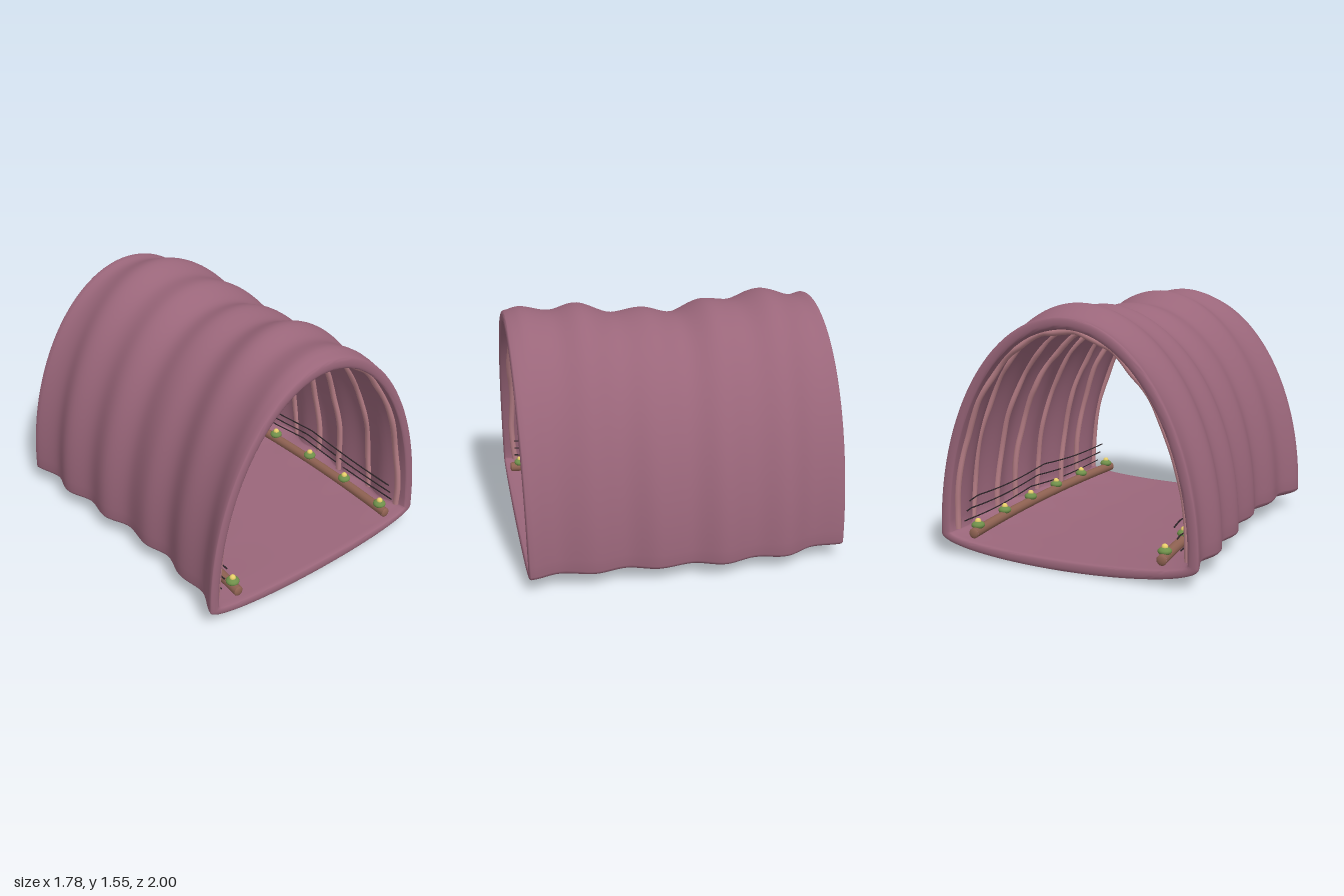
import * as THREE from 'three';
import { toCreasedNormals } from 'three/addons/utils/BufferGeometryUtils.js';

const mat = (color) => new THREE.MeshStandardMaterial({ color });
const shellMat = mat(0x9a667a), ribMat = mat(0xb98088), pipeMat = mat(0x8f6252);
const leafMat = mat(0x6f8f4a), glowMat = mat(0xe8cf6a), cableMat = mat(0x2c2428);

// Peaks and valleys of the swelling along z: [z, value]
const halfWidths = [[-1, .85], [-.8, .82], [-.6, .88], [-.4, .832], [-.21, .868], [0, .805],
  [.2, .83], [.4, .78], [.6, .822], [.8, .79], [1, .85]];
const heights = [[-1, 1.5], [-.92, 1.487], [-.68, 1.555], [-.47, 1.5], [-.3, 1.52], [-.08, 1.447],
  [.12, 1.495], [.3, 1.472], [.54, 1.55], [.71, 1.508], [.89, 1.54], [1, 1.51]];

// Smooth blend between neighbouring knots
function blend(knots, z) {
  let i = 0;
  while (i < knots.length - 2 && z > knots[i + 1][0]) i++;
  const [z0, a] = knots[i], [z1, b] = knots[i + 1];
  return a + (b - a) * THREE.MathUtils.smoothstep(z, z0, z1);
}
const centre = (z) => 0.025 - 0.065 * z * z;
const base = (z) => 0.006 * (1 + z);

// Section at z: a tall half ellipse over a shallow one; s = 0 outer skin, s = 1 inner skin
function ringPoint(z, s, t) {
  const width = blend(halfWidths, z) - 0.065 * s;
  const foot = 0.13 + 0.015 * s + base(z) * 0.5;
  const top = blend(heights, z) - 0.068 * s;
  const floor = base(z) + 0.064 * s;
  const reach = Math.sin(t) > 0 ? top - foot : foot - floor;
  return new THREE.Vector3(centre(z) + width * Math.cos(t), foot + reach * Math.sin(t), z);
}

// Closed skin: outer side, front rim, inner side, back rim
function shellGeometry() {
  const AROUND = 112, LONG = 64, RIM = 8, BULGE = 0.012, END = 1 - BULGE;
  const loops = [];
  for (const dir of [1, -1]) {
    const from = dir > 0 ? 0 : 1;
    for (let j = 0; j < LONG; j++) loops.push([dir * END * ((2 * j) / LONG - 1), from]);
    for (let j = 0; j < RIM; j++) {
      const a = (Math.PI * j) / RIM;
      loops.push([dir * (END + BULGE * Math.sin(a)), from + (dir * (1 - Math.cos(a))) / 2]);
    }
  }
  const pos = [], index = [], m = loops.length;
  for (const [z, s] of loops) {
    for (let i = 0; i < AROUND; i++) {
      pos.push(...ringPoint(z, s, (2 * Math.PI * i) / AROUND).toArray());
    }
  }
  for (let j = 0; j < m; j++) {
    for (let i = 0; i < AROUND; i++) {
      const i1 = (i + 1) % AROUND, j1 = (j + 1) % m;
      const a = j * AROUND + i, b = j * AROUND + i1, c = j1 * AROUND + i1, d = j1 * AROUND + i;
      index.push(a, b, c, a, c, d);
    }
  }
  const g = new THREE.BufferGeometry();
  g.setAttribute('position', new THREE.Float32BufferAttribute(pos, 3));
  g.setIndex(index);
  return toCreasedNormals(g, 0.8);
}

function add(parent, name, geometry, material) {
  const mesh = new THREE.Mesh(geometry, material);
  mesh.name = name;
  parent.add(mesh);
  return mesh;
}
function tube(points, radius, steps, sides) {
  return new THREE.TubeGeometry(new THREE.CatmullRomCurve3(points), steps, radius, sides);
}

export function createModel() {
  const model = new THREE.Group();
  model.name = 'ribbedTunnel';
  add(model, 'shell', shellGeometry(), shellMat);

  // Slightly uneven ribs lining the inner wall
  const ribs = new THREE.Group();
  ribs.name = 'ribs';
  model.add(ribs);
  for (let r = 0; r < 8; r++) {
    const z = 0.93 - 0.265 * r, points = [];
    for (let i = 0; i <= 32; i++) {
      const p = ringPoint(z, 1.1, (Math.PI * i) / 32);
      p.z += 0.008 * Math.sin(i * 1.3 + r * 2);
      if (i > 3 && i < 29) p.y += 0.008 * Math.sin(i * 1.9 + r);
      points.push(p);
    }
    add(ribs, 'rib', tube(points, 0.02, 96, 8), ribMat);
  }

  for (const side of [-1, 1]) {
    const wall = new THREE.Group();
    wall.name = side > 0 ? 'leftSide' : 'rightSide';
    model.add(wall);
    const pipeX = (z) => 0.8 * centre(z) + side * 0.625;

    // Pipe along the foot of the wall, with capped ends
    const path = [];
    for (let i = 0; i <= 12; i++) {
      const z = 0.96 - 0.16 * i;
      path.push(new THREE.Vector3(pipeX(z), base(z) + 0.143, z));
    }
    add(wall, 'pipe', tube(path, 0.032, 40, 12), pipeMat);
    for (const end of [path[0], path[12]]) {
      const cap = add(wall, 'pipeEnd', new THREE.SphereGeometry(0.032, 12, 8), pipeMat);
      cap.position.copy(end);
      cap.scale.z = 0.4;
    }

    // Lamps: a squashed green pod with a glowing bulb
    for (let i = 0; i < 6; i++) {
      const z = 0.9 - 0.36 * i;
      const lamp = new THREE.Group();
      lamp.name = 'lamp';
      lamp.position.set(pipeX(z), base(z) + 0.18, z);
      wall.add(lamp);
      add(lamp, 'lampPod', new THREE.SphereGeometry(0.042, 16, 10), leafMat).scale.y = 0.6;
      add(lamp, 'lampBulb', new THREE.SphereGeometry(0.02, 12, 8), glowMat).position.y = 0.024;
    }

    // Thin sagging cables strung along the wall
    [[0.72, 0.2], [0.70, 0.27], [0.68, 0.34]].forEach(([offset, y], k) => {
      const points = [];
      for (let i = 0; i <= 28; i++) {
        const z = 0.93 - (1.855 * i) / 28;
        const sag = 0.025 * Math.abs(Math.sin((Math.PI * i) / 14 + k * 0.2));
        points.push(new THREE.Vector3(centre(z) + side * offset, y - sag, z));
      }
      add(wall, 'cable', tube(points, 0.0045, 80, 6), cableMat);
    });
  }
  return model;
}
